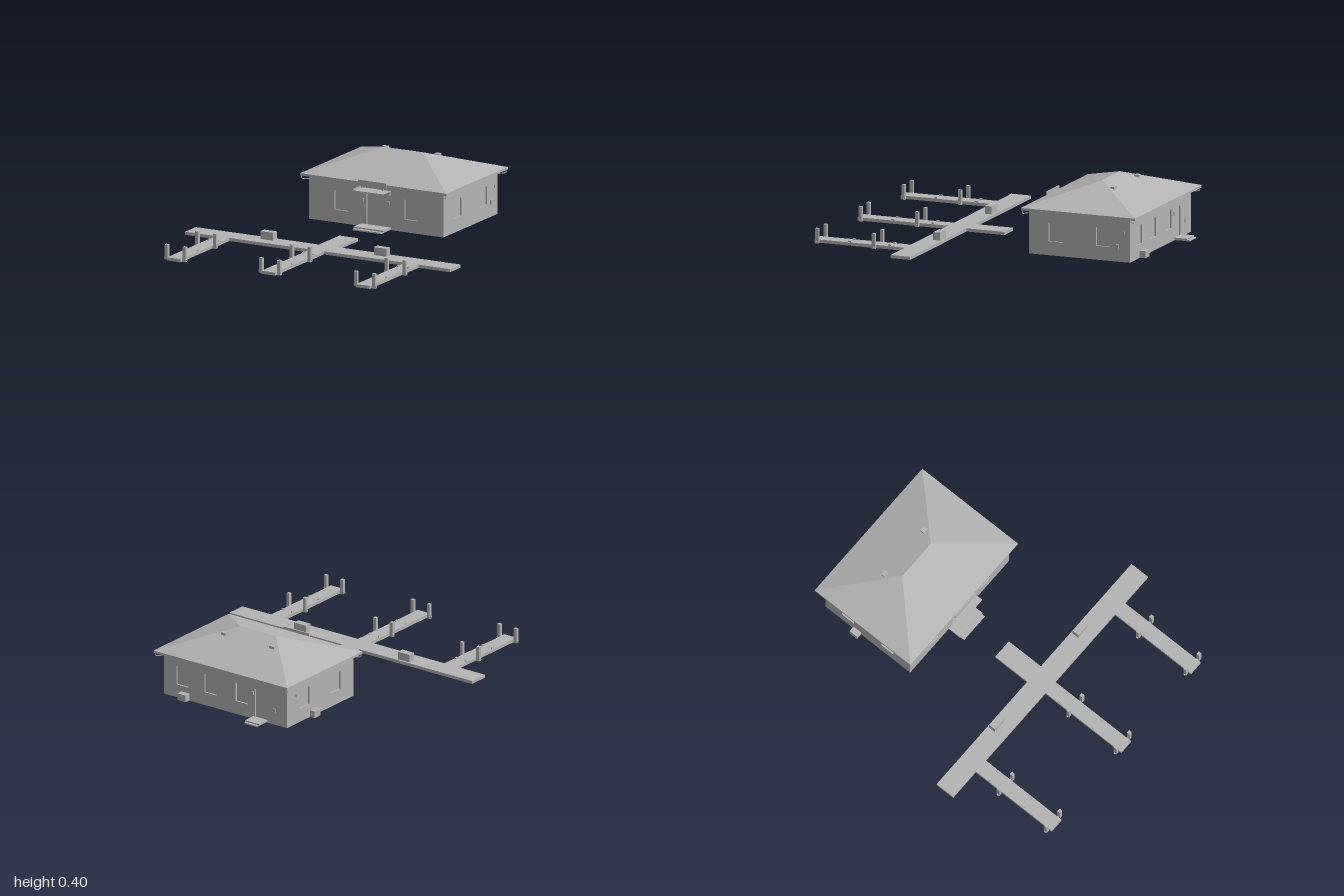
import * as THREE from 'three';

const grey = new THREE.MeshStandardMaterial({ color: 0xb4b4b4 });
grey.name = 'plain grey';

const T = 0.018; // wall thickness
const WALL_H = 0.264;

function add(parent, name, geometry, x = 0, y = 0, z = 0) {
  const m = new THREE.Mesh(geometry, grey);
  m.name = name;
  m.position.set(x, y, z);
  parent.add(m);
  return m;
}

// Box given by its extents
function block(parent, name, x0, x1, y0, y1, z0, z1) {
  return add(parent, name, new THREE.BoxGeometry(x1 - x0, y1 - y0, z1 - z0),
    (x0 + x1) / 2, (y0 + y1) / 2, (z0 + z1) / 2);
}

// Wall facing local +z, openings as [centre x, width, bottom, top]
function wall(parent, name, width, openings) {
  const g = new THREE.Group();
  g.name = name;
  const s = new THREE.Shape();
  const w = width / 2;
  s.moveTo(-w, 0).lineTo(w, 0).lineTo(w, WALL_H).lineTo(-w, WALL_H).closePath();
  // doors cut the hole just above the ground line
  for (const [cx, ow, b, t] of openings) {
    const h = new THREE.Path();
    h.moveTo(cx - ow / 2, b).lineTo(cx - ow / 2, t).lineTo(cx + ow / 2, t).lineTo(cx + ow / 2, b).closePath();
    s.holes.push(h);
    block(g, b > 0.05 ? 'windowPane' : 'doorLeaf', cx - ow / 2, cx + ow / 2, b, t, -T + 0.002, -T + 0.007);
  }
  add(g, name + 'Panel', new THREE.ExtrudeGeometry(s, { depth: T, bevelEnabled: false }), 0, 0, -T);
  parent.add(g);
  return g;
}

// Hipped roof: eave plate, slopes and flat underside
function hipRoof(x, z0, z1, yb, ye, yr, rx, rz) {
  const lo = [[-x, yb, z1], [x, yb, z1], [x, yb, z0], [-x, yb, z0]];
  const hi = lo.map(([a, , c]) => [a, ye, c]);
  const L = [-rx, yr, rz], R = [rx, yr, rz];
  const p = [];
  const tri = (a, b, c) => p.push(...a, ...b, ...c);
  const quad = (a, b, c, d) => { tri(a, b, c); tri(a, c, d); };
  for (let i = 0; i < 4; i++) quad(lo[i], lo[(i + 1) % 4], hi[(i + 1) % 4], hi[i]);
  quad(hi[0], hi[1], R, L);
  quad(hi[2], hi[3], L, R);
  tri(hi[1], hi[2], R);
  tri(hi[3], hi[0], L);
  quad(lo[3], lo[2], lo[1], lo[0]);
  const g = new THREE.BufferGeometry();
  g.setAttribute('position', new THREE.Float32BufferAttribute(p, 3));
  g.computeVertexNormals();
  return g;
}

function buildHouse() {
  const house = new THREE.Group();
  house.name = 'house';
  const ZF = -0.265, ZB = -0.905, X = 0.45, ZM = (ZF + ZB) / 2;
  const win = (cx, b = 0.076) => [cx, 0.09, b, 0.195];

  // Walls
  wall(house, 'frontWall', 2 * X, [win(-0.235), win(0.235), [-0.004, 0.12, 0.012, 0.2]])
    .position.z = ZF;
  const back = wall(house, 'backWall', 2 * X,
    [win(-0.315, 0.08), win(-0.11, 0.08), win(0.12, 0.08), [0.255, 0.08, 0.012, 0.19]]);
  back.position.z = ZB;
  back.rotation.y = Math.PI;
  for (const s of [-1, 1]) {
    const side = wall(house, s > 0 ? 'leftWall' : 'rightWall', ZF - ZB - 2 * T,
      [win(s * 0.15, 0.083), win(s * -0.15, 0.083)]);
    side.position.set(s * X, 0, ZM);
    side.rotation.y = s * Math.PI / 2;
  }

  // Roof with two vents
  add(house, 'roof', hipRoof(0.49, -0.955, -0.23, 0.262, 0.276, 0.4, 0.13, -0.59));
  for (const s of [-1, 1])
    block(house, 'roofVent', s * 0.177 - 0.017, s * 0.177 + 0.017, 0.345, 0.38, -0.695, -0.668);

  // Gutter outlets at the corners
  for (const sx of [-1, 1]) for (const [ze, zw] of [[-0.945, ZB], [-0.237, ZF]]) {
    const path = new THREE.CurvePath();
    const pts = [[0.484, 0.266, ze], [0.484, 0.242, ze], [X - 0.005, 0.242, zw]]
      .map(([a, b, c]) => new THREE.Vector3(sx * a, b, c));
    path.add(new THREE.LineCurve3(pts[0], pts[1]));
    path.add(new THREE.LineCurve3(pts[1], pts[2]));
    add(house, 'gutterOutlet', new THREE.TubeGeometry(path, 8, 0.0025, 6));
  }

  // Entrance canopy, sign board, brackets and lamps
  block(house, 'canopy', -0.1, 0.1, 0.234, 0.245, -0.175, ZF);
  block(house, 'canopyBoard', -0.095, 0.092, 0.255, 0.29, -0.224, -0.217);
  for (const s of [-1, 1]) {
    block(house, 'canopyBracket', s * 0.094 - 0.003, s * 0.094 + 0.003, 0.205, 0.235, ZF, ZF + 0.012);
    block(house, 'boardPost', s * 0.07 - 0.003, s * 0.07 + 0.003, 0.243, 0.258, -0.224, -0.218);
    block(house, 'doorLamp', s * 0.087 - 0.007, s * 0.087 + 0.007, 0.148, 0.17, ZF, ZF + 0.008);
  }

  // Steps
  block(house, 'frontStepLower', -0.095, 0.095, 0, 0.008, ZF, -0.152);
  block(house, 'frontStepUpper', -0.1, 0.1, 0.006, 0.016, ZF, -0.175);
  block(house, 'backStepLower', -0.3, -0.21, 0, 0.008, -1, ZB);
  block(house, 'backStepUpper', -0.307, -0.204, 0.006, 0.016, -0.985, ZB);

  // Wall lamps, meter boxes and cooling units
  block(house, 'sideLamp', X, X + 0.007, 0.168, 0.188, -0.873, -0.86);
  block(house, 'sideMeter', X, X + 0.007, 0.076, 0.102, -0.834, -0.818);
  block(house, 'sideLamp', -X - 0.007, -X, 0.168, 0.188, -0.822, -0.808);
  block(house, 'backLamp', -0.207, -0.193, 0.15, 0.172, ZB - 0.007, ZB);
  block(house, 'backMeter', -0.368, -0.352, 0.075, 0.1, ZB - 0.007, ZB);
  block(house, 'backCoolingUnit', 0.26, 0.32, 0.004, 0.046, -0.947, ZB - 0.004);
  block(house, 'sideCoolingUnit', -0.49, -X - 0.004, 0.004, 0.046, -0.69, -0.635);
  return house;
}

function buildPier() {
  const pier = new THREE.Group();
  pier.name = 'pier';
  const H = 0.019;

  // Walkways
  block(pier, 'mainWalkway', -0.888, 0.888, 0, H, 0.3, 0.425);
  block(pier, 'shoreWalkway', -0.062, 0.062, 0, H, 0.058, 0.3);

  // Fingers with mooring posts and cleats
  for (const x of [-0.637, -0.003, 0.632]) {
    block(pier, 'fingerWalkway', x - 0.045, x + 0.045, 0, H, 0.425, 1);
    for (const s of [-1, 1]) {
      const px = x + s * 0.06;
      for (const z of [0.615, 0.974]) {
        block(pier, 'mooringPost', px - 0.01, px + 0.01, 0, 0.09, z - 0.01, z + 0.01);
        block(pier, 'postBracket', px - 0.016, px + 0.016, 0.006, 0.014, z - 0.005, z + 0.005);
      }
      for (const z of [0.525, 0.78])
        block(pier, 'cleat', x + s * 0.035 - 0.004, x + s * 0.035 + 0.004, H, 0.027, z - 0.009, z + 0.009);
    }
  }

  // Storage boxes
  for (const s of [-1, 1])
    block(pier, 'storageBox', s * 0.38 - 0.043, s * 0.38 + 0.043, H, 0.066, 0.312, 0.355);
  return pier;
}

export function createModel() {
  const model = new THREE.Group();
  model.name = 'boathouseAndPier';
  model.add(buildHouse(), buildPier());
  return model;
}
